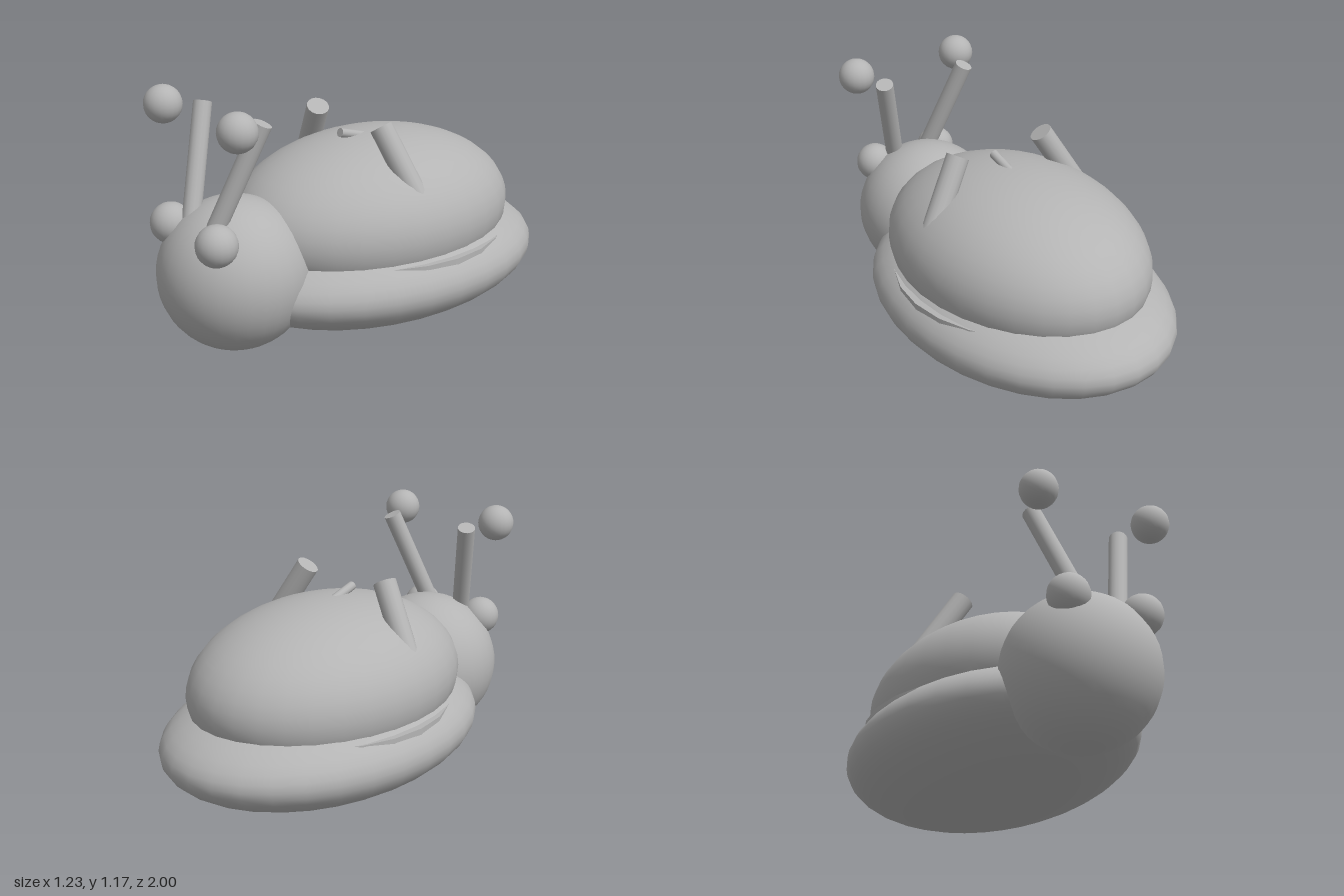
import * as THREE from 'three';

const grey = new THREE.MeshStandardMaterial({ color: 0xb4b4b4 });
grey.name = 'plain grey';

export function createModel() {
  const model = new THREE.Group();
  model.name = 'snail';

  const add = (name, geometry) => {
    const mesh = new THREE.Mesh(geometry, grey);
    mesh.name = name;
    model.add(mesh);
    return mesh;
  };

  // ellipsoid from centre and three radii
  const ellipsoid = (name, [x, y, z], [rx, ry, rz], w = 32, h = 24) => {
    const geometry = new THREE.SphereGeometry(1, w, h);
    geometry.scale(rx, ry, rz);
    add(name, geometry).position.set(x, y, z);
  };

  // round rod between two points
  const rod = (name, from, to, radius, sides = 16) => {
    const a = new THREE.Vector3(...from);
    const b = new THREE.Vector3(...to);
    const dir = b.clone().sub(a);
    const mesh = add(name, new THREE.CylinderGeometry(radius, radius, dir.length(), sides));
    mesh.position.copy(a).add(b).multiplyScalar(0.5);
    mesh.quaternion.setFromUnitVectors(new THREE.Vector3(0, 1, 0), dir.normalize());
  };

  // main masses
  ellipsoid('body', [0, 0.265, -0.14], [0.615, 0.262, 0.86]);
  ellipsoid('shell', [0, 0.49, -0.12], [0.535, 0.375, 0.725]);
  ellipsoid('head', [0, 0.358, 0.655], [0.345, 0.345, 0.345]);

  // thin rim disc between body and shell
  const rim = new THREE.CylinderGeometry(1, 1, 0.06, 24);
  rim.scale(0.57, 1, 0.62);
  add('shellRim', rim).position.set(0, 0.362, -0.15);

  // mirrored parts
  for (const [side, s] of [['left', 1], ['right', -1]]) {
    ellipsoid(side + 'Eye', [s * 0.18, 0.583, 0.86], [0.092, 0.092, 0.092], 20, 14);
    rod(side + 'Stalk', [s * 0.08, 0.57, 0.825], [s * 0.225, 1.08, 0.647], 0.042);
    ellipsoid(side + 'StalkBall', [s * 0.284, 1.085, 0.81], [0.085, 0.085, 0.085], 20, 14);
    rod(side + 'ShellSpike', [s * 0.44, 0.6, -0.055], [s * 0.228, 0.95, 0.015], 0.053);
  }

  // small peg leaning forward on top of the shell
  rod('shellPeg', [0, 0.835, -0.1], [0, 0.882, 0.065], 0.021, 12);

  return model;
}
